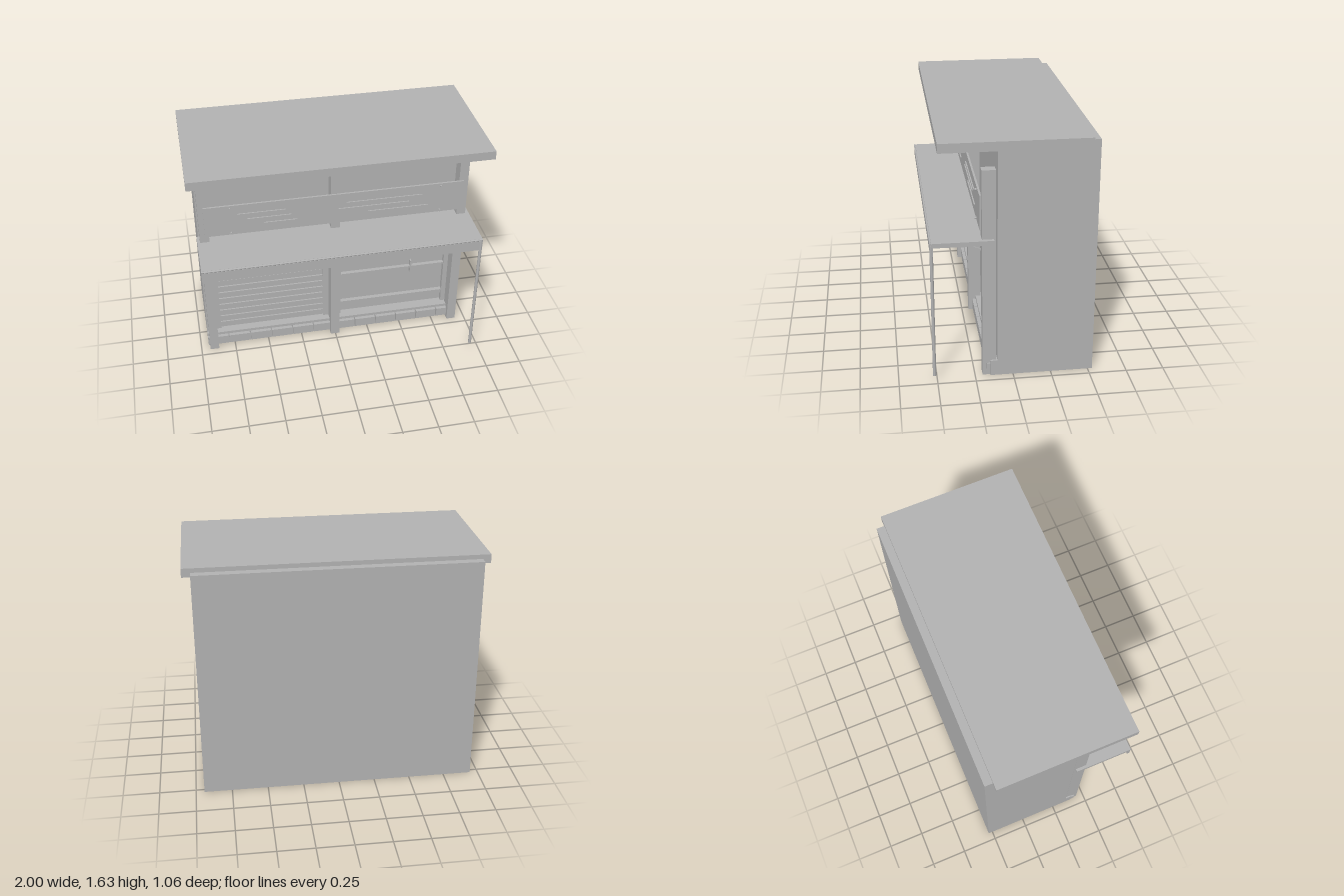
import * as THREE from 'three';

const grey = new THREE.MeshStandardMaterial({ color: 0xb2b2b2 });
grey.name = 'plain grey';

export function createModel() {
  const model = new THREE.Group();
  model.name = 'marketStall';

  const add = (name, geometry, x = 0, y = 0, z = 0) => {
    const mesh = new THREE.Mesh(geometry, grey);
    mesh.name = name;
    mesh.position.set(x, y, z);
    model.add(mesh);
    return mesh;
  };
  // Box given by its minimum and maximum on each axis
  const box = (name, x0, x1, y0, y1, z0, z1) =>
    add(name, new THREE.BoxGeometry(x1 - x0, y1 - y0, z1 - z0),
      (x0 + x1) / 2, (y0 + y1) / 2, (z0 + z1) / 2);

  // Building body, with a front wall cut out for the two openings
  box('body', -0.945, 0.942, 0, 1.605, -0.53, 0.07);
  const rect = (path, x0, x1, y0, y1) => {
    path.moveTo(x0, y0);
    path.lineTo(x1, y0);
    path.lineTo(x1, y1);
    path.lineTo(x0, y1);
    path.closePath();
    return path;
  };
  const wall = rect(new THREE.Shape(), -0.945, 0.942, 0, 1.58);
  wall.holes.push(rect(new THREE.Path(), -0.838, -0.075, 0.108, 0.868));
  wall.holes.push(rect(new THREE.Path(), 0.058, 0.835, 0.108, 0.89));
  add('frontWall', new THREE.ExtrudeGeometry(wall, { depth: 0.035, bevelEnabled: false }), 0, 0, 0.068);

  // Flat roof overhanging the front
  box('roof', -1, 1, 1.575, 1.635, -0.475, 0.47);

  // Plinth with a row of stone blocks
  box('plinth', -0.945, 0.942, 0, 0.108, 0.1, 0.148);
  for (let i = 0; i < 12; i++) {
    const x = -0.945 + i * 0.1575;
    box('plinthBlock', x, x + 0.149, 0.02, 0.087, 0.14, 0.173);
  }

  // Three front posts
  for (const x of [-0.904, -0.003, 0.897]) {
    box('post', x - 0.032, x + 0.032, 0, 1.432, 0.112, 0.2);
  }

  // Roller shutter made of slats
  for (let i = 0; i < 14; i++) {
    const y = 0.112 + i * 0.0545;
    box('shutterSlat', -0.838, -0.075, y, y + 0.046, 0.066, 0.092);
  }

  // Panelled opening with rails and handle
  box('upperRail', 0.058, 0.835, 0.733, 0.746, 0.066, 0.098);
  box('middleRail', 0.058, 0.835, 0.46, 0.474, 0.066, 0.098);
  box('lowerRail', 0.058, 0.835, 0.175, 0.205, 0.066, 0.092);
  box('lowerRailLedge', 0.058, 0.835, 0.205, 0.216, 0.066, 0.1);
  box('handle', 0.58, 0.59, 0.415, 0.52, 0.066, 0.1);

  // Sign board with bolts and thin raised strips
  box('signBoard', -0.9, 0.895, 1.025, 1.256, 0.198, 0.211);
  for (const x of [-0.72, 0.733]) {
    for (const y of [1.04, 1.235]) {
      add('bolt', new THREE.CylinderGeometry(0.008, 0.008, 0.014, 12), x, y, 0.217).rotation.x = Math.PI / 2;
    }
  }
  const strips = [
    [-0.675, -0.35, 1.185], [-0.61, -0.31, 1.14], [-0.5, -0.27, 1.095],
    [0.07, 0.6, 1.185], [0.015, 0.51, 1.14], [0.22, 0.645, 1.095],
  ];
  for (const [x0, x1, y] of strips) box('signStrip', x0, x1, y - 0.003, y + 0.003, 0.21, 0.219);

  // Folding counter with front lip and edge rod
  box('counterTop', -0.955, 0.955, 0.945, 0.975, 0.125, 0.522);
  box('counterLip', -0.955, 0.955, 0.887, 0.962, 0.506, 0.524);
  add('edgeRod', new THREE.CylinderGeometry(0.007, 0.007, 1.91, 12), 0, 0.97, 0.521).rotation.z = Math.PI / 2;

  // Single prop leg at the counter's left end
  add('propLeg', new THREE.CylinderGeometry(0.011, 0.011, 0.94, 12), 0.945, 0.5, 0.517);

  // Diagonal braces under the counter
  const high = new THREE.Vector3(0, 0.947, 0.45);
  const low = new THREE.Vector3(0, 0.838, 0.17);
  const mid = high.clone().add(low).multiplyScalar(0.5);
  for (const x of [-0.803, -0.382, 0.376, 0.797]) {
    const brace = add('brace', new THREE.BoxGeometry(0.01, 0.011, high.distanceTo(low)), x, mid.y, mid.z);
    brace.rotation.x = -Math.atan2(high.y - low.y, high.z - low.z);
  }

  return model;
}
